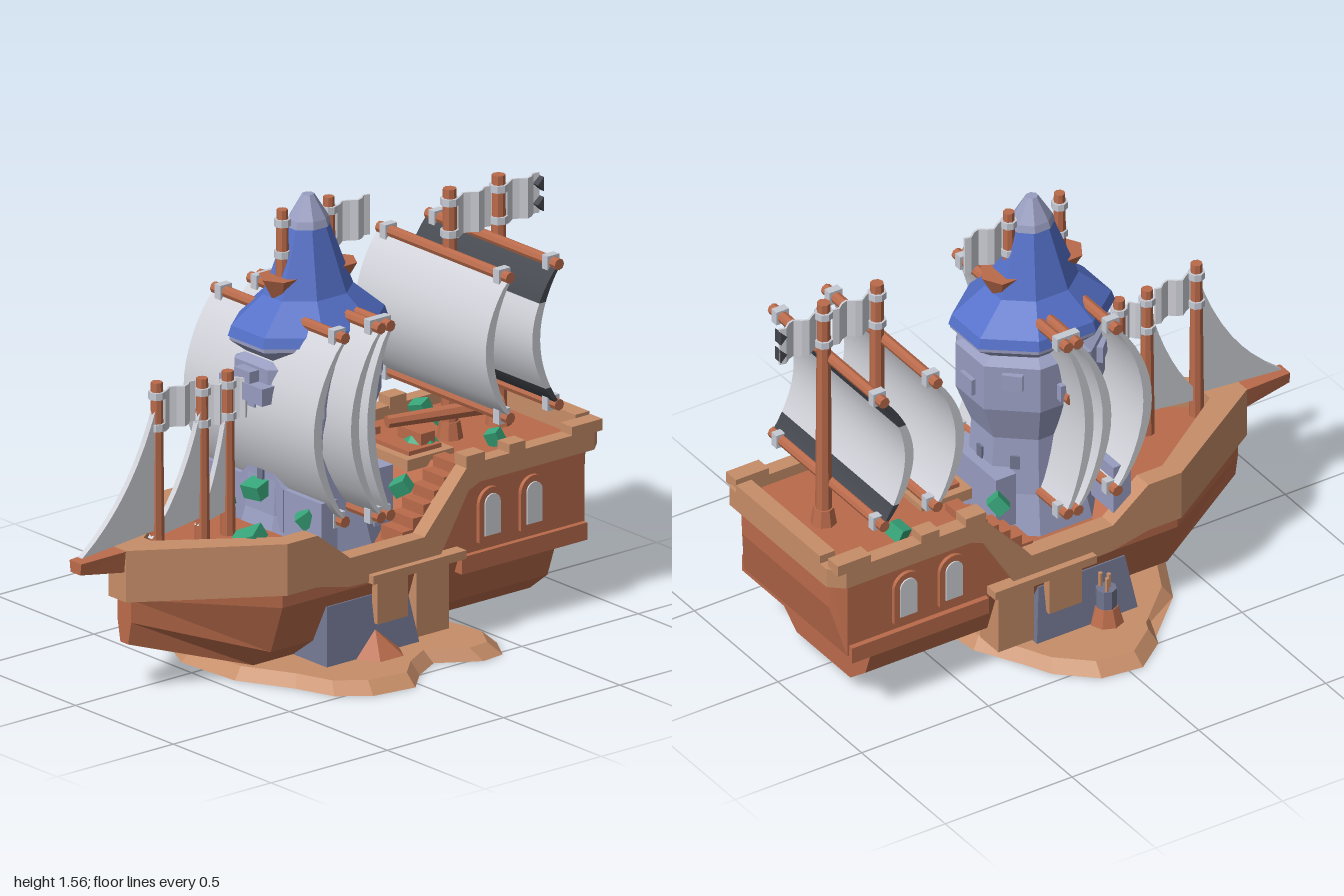
import * as THREE from 'three';
import { toCreasedNormals } from 'three/addons/utils/BufferGeometryUtils.js';

const paint = (name, color) => {
  const m = new THREE.MeshStandardMaterial({ color });
  m.name = name;
  return m;
};

export function createModel() {
  const model = new THREE.Group();
  model.name = 'castleShip';
  const wood = paint('wood', 0xba6b4b), tan = paint('tanWood', 0xc68d68), blue = paint('blueRoof', 0x5470c8);
  const stone = paint('stone', 0x989dc0), slate = paint('slate', 0x70758f), cloth = paint('cloth', 0xd2d3da);
  const dark = paint('darkCloth', 0x43464d), green = paint('green', 0x37a479), metal = paint('metal', 0xc6cad4);

  const add = (name, geo, mat, x = 0, y = 0, z = 0) => {
    const m = new THREE.Mesh(geo, mat);
    m.name = name;
    m.position.set(x, y, z);
    model.add(m);
    return m;
  };
  const box = (name, mat, w, h, d, x, y, z) => add(name, new THREE.BoxGeometry(w, h, d), mat, x, y, z);
  const flat = (g) => {
    g = g.index ? g.toNonIndexed() : g;
    g.computeVertexNormals();
    return g;
  };
  const cyl = (name, mat, r0, r1, h, x, y, z, n = 8) =>
    add(name, flat(new THREE.CylinderGeometry(r1, r0, h, n)), mat, x, y, z);

  // Skin rings of points, turned outward whatever their order
  const loft = (rings, closed = false) => {
    const p = [], n = rings[0].length, c = rings.length;
    const tri = (a, b, d) => p.push(...a, ...b, ...d);
    for (let i = 0; i < (closed ? c : c - 1); i++) {
      const A = rings[i], B = rings[(i + 1) % c];
      for (let j = 0; j < n; j++) {
        const k = (j + 1) % n;
        tri(A[j], A[k], B[k]);
        tri(A[j], B[k], B[j]);
      }
    }
    if (!closed) for (let j = 1; j < n - 1; j++) {
      tri(rings[0][0], rings[0][j + 1], rings[0][j]);
      tri(rings[c - 1][0], rings[c - 1][j], rings[c - 1][j + 1]);
    }
    let volume = 0;
    const v = (i) => new THREE.Vector3(p[i], p[i + 1], p[i + 2]);
    for (let i = 0; i < p.length; i += 9) volume += v(i).dot(v(i + 3).cross(v(i + 6)));
    if (volume < 0) for (let i = 0; i < p.length; i += 9)
      for (let k = 3; k < 6; k++) [p[i + k], p[i + k + 3]] = [p[i + k + 3], p[i + k]];
    const g = new THREE.BufferGeometry();
    g.setAttribute('position', new THREE.Float32BufferAttribute(p, 3));
    g.computeVertexNormals();
    return g;
  };
  const section = (z, half) => [...half.map(([x, y]) => [x, y, z]),
    ...half.slice().reverse().map(([x, y]) => [-x, y, z])];
  // Outline in z and y, given thickness along x
  const sidePlate = (pts, t) => {
    const s = pts instanceof THREE.Shape ? pts : new THREE.Shape(pts.map((q) => new THREE.Vector2(...q)));
    return new THREE.ExtrudeGeometry(s, { depth: t, bevelEnabled: false, curveSegments: 8 })
      .translate(0, 0, -t / 2).rotateY(-Math.PI / 2);
  };

  // Island
  const coast = [[-.59, .05], [-.57, -.1], [-.46, -.22], [-.36, -.27], [-.2, -.36], [.1, -.4], [.33, -.45], [.42, -.46],
    [.52, -.4], [.53, -.31], [.44, -.17], [.5, -.06], [.585, .03], [.56, .19], [.48, .29], [.34, .34], [.15, .44],
    [-.1, .46], [-.3, .36], [-.38, .22], [-.5, .17]];
  add('island', loft([coast.map(([x, z]) => [x, 0, z]), coast.map(([x, z]) => [x * .92, .04, z * .92])]), tan);

  // Hull
  const side = (top) => [[.31, top], [.31, .28], [.25, .11], [.16, .04]];
  add('hull', loft([
    section(.79, [[.035, .45], [.035, .33], [.035, .25], [.02, .17]]),
    section(.37, side(.45)), section(.22, side(.45)), section(.1, side(.36)),
    section(-.24, side(.36)), section(-.42, side(.57)), section(-.82, side(.57)),
  ]), wood);
  add('stern', loft([section(-.8, [[.31, .57], [.31, .25]]), section(-.93, [[.31, .57], [.31, .25]]),
    section(-.97, [[.27, .57], [.26, .43]])]), wood);
  box('sternBelt', wood, .66, .06, .54, 0, .26, -.655);

  // Rim: outer x, z, inner x, z, top, bottom
  const rim = [[0, .82, 0, .69, .51, .33], [.045, .82, .02, .69, .51, .33], [.335, .37, .265, .34, .51, .33],
    [.335, .24, .265, .24, .51, .33], [.335, .1, .27, .1, .4, .3], [.335, -.22, .27, -.22, .4, .29],
    [.335, -.27, .27, -.27, .455, .29], [.335, -.41, .28, -.41, .61, .52], [.335, -.46, .28, -.46, .61, .54],
    [.335, -.95, .28, -.93, .61, .54], [.29, -1, .26, -.94, .61, .54], [0, -1, 0, -.94, .61, .54]];
  const loop = [...rim, ...rim.slice(1, -1).reverse().map(([a, b, c, d, e, f]) => [-a, b, -c, d, e, f])];
  add('rim', loft(loop.map(([x, z, u, w, t, b]) => [[x, t, z], [u, t, w], [u, b, w], [x, b, z]]), true), tan);
  add('bowsprit', loft([section(.74, [[.05, .51], [.04, .42]]), section(1, [[.03, .5], [.025, .46]])]), wood);
  box('sternRail', tan, .5, .04, .06, 0, .62, -.97);

  for (const s of [-1, 1]) {
    // Side ledges, ribs, planks and stair steps
    box('ledge', tan, .05, .03, .4, s * .335, .31, -.18);
    add('rib', sidePlate([[-.2, .3], [-.34, .3], [-.34, .05], [-.2, .05]], .11), tan, s * .262);
    box('sidePlank', tan, .03, .15, .13, s * .318, .215, -.085);
    for (const [z, d] of [[-.44, .08], [-.62, .07], [-.92, .13]]) box('railBlock', tan, .06, .04, d, s * .305, .62, z);
    for (let i = 0; i < 6; i++) box('stairStep', wood, .11, .06, .05, s * .22, .38 + i * .038, -.2 - i * .045);
    // Arched windows
    for (const z of [-.52, -.7]) {
      const arch = (w, y0, y1) => {
        const a = new THREE.Shape();
        a.moveTo(-w, y0);
        a.lineTo(w, y0);
        a.lineTo(w, y1);
        a.absarc(0, y1, w, 0, Math.PI);
        return a;
      };
      add('windowFrame', sidePlate(arch(.055, .32, .45), .02), wood, s * .314, 0, z);
      add('windowPane', sidePlate(arch(.033, .34, .45), .008), cloth, s * .325, 0, z);
    }
  }

  // Rock foundation and island details
  add('foundation', loft([[.335, .03, .2], [.3, .235, .17]].map(([x, y, z]) =>
    [[x, y, z], [x, y, -z], [-x, y, -z], [-x, y, z]])), slate);
  add('rockMound', flat(new THREE.ConeGeometry(.1, .08, 6)), wood, .32, .08, -.02);
  cyl('potStand', wood, .06, .04, .06, -.34, .07, .07);
  cyl('pot', slate, .036, .036, .07, -.34, .135, .07);
  for (let i = 0; i < 3; i++) cyl('stick', tan, .008, .008, .1, -.36 + i * .02, .17, .06 + (i % 2) * .02, 6);

  // Tower and roof
  const octagon = (name, pts, mat, sx) => {
    const g = new THREE.LatheGeometry(pts.map((q) => new THREE.Vector2(...q)), 8, Math.PI / 8);
    add(name, flat(g), mat).scale.x = sx;
  };
  octagon('tower', [[0, .35], [.27, .35], [.225, .5], [.21, .71], [.265, .85], [.265, 1.02], [.2, 1.05], [0, 1.05]], stone, .84);
  octagon('eave', [[0, 1.02], [.21, 1.03], [.285, 1.085], [.285, 1.11], [0, 1.11]], stone, .8);
  octagon('roof', [[0, 1.1], [.292, 1.1], [.28, 1.135], [.165, 1.23], [.075, 1.46], [0, 1.46]], blue, .8);
  octagon('roofCap', [[0, 1.455], [.08, 1.455], [.072, 1.48], [.022, 1.56], [0, 1.56]], stone, .9);
  for (let i = 0; i < 8; i++) {
    const a = i * Math.PI / 4;
    const b = box('towerBlock', stone, .07, .06, .03, Math.sin(a) * .213, i % 2 ? .97 : .91, Math.cos(a) * .245);
    b.rotation.y = a;
    const w = box('towerSlot', slate, .03, .05, .008, Math.sin(a) * .167, .62, Math.cos(a) * .203);
    w.rotation.y = a;
  }
  box('frontParapet', stone, .22, .06, .06, 0, .94, .26);
  box('frontLintel', stone, .08, .04, .06, 0, .99, .255);
  for (const s of [-1, 1]) cyl('towerPeg', wood, .025, .025, .05, s * .22, .89, 0).rotation.z = Math.PI / 2;
  box('frontWall', stone, .6, .18, .07, 0, .51, .16);
  add('wallGable', loft([[-.11, .6], [-.06, .645], [.06, .645], [.11, .6]].map(([x, y]) =>
    [[x, y, .12], [x, y, .2], [x, .45, .2], [x, .45, .12]])), stone);
  box('rearWall', stone, .3, .2, .08, 0, .5, -.2);

  // Sails with yards; a slice of the sail runs from t0 to t1
  const sail = (z0, y0, y1, bulge, t0, t1, mat) => {
    const rings = [];
    for (let i = 0; i <= 14; i++) {
      const t = t0 + (t1 - t0) * i / 14, s = Math.sin(Math.PI * t) ** .8;
      const y = y0 + (y1 - y0) * t, z = z0 + bulge * s, d = .012 + .022 * s;
      rings.push([[-.333, y, z], [.333, y, z], [.333, y, z - d], [-.333, y, z - d]]);
    }
    add('sail', toCreasedNormals(loft(rings), .5), mat);
  };
  const sails = [[.12, .53, 1.17, .135], [-.035, .51, 1.17, .13], [-.075, .51, 1.17, .1], [-.59, .73, 1.22, .105], [-.8, .73, 1.22, .115]];
  sails.forEach(([z, y0, y1, bulge], i) => {
    if (i < 4) sail(z, y0, y1, bulge, 0, 1, cloth);
    else [[0, .14, dark], [.14, .76, cloth], [.76, 1, dark]].forEach((q) => sail(z, y0, y1, bulge, ...q));
    for (const y of [y0, y1]) {
      cyl('yard', wood, .02, .02, .67, 0, y, z).rotation.z = Math.PI / 2;
      for (const s of [-1, 1]) box('yardBand', metal, .03, .05, .05, s * .29, y, z);
    }
  });

  // Masts with rings
  const mast = (z, y0, y1, r) => {
    cyl('mast', wood, r + .003, r - .003, y1 - y0, 0, (y0 + y1) / 2, z);
    for (const y of [y1 - .045, y1 - .155]) cyl('mastRing', metal, r + .006, r + .006, .025, 0, y, z);
  };
  // Waving flag running aft from z
  const flag = (z, len, y) => {
    const rings = [];
    for (let i = 0; i <= 8; i++) {
      const x = .014 * Math.sin(i * 1.5), q = z - len * i / 8, h = .07;
      rings.push([[x - .004, y - h, q], [x + .004, y - h, q], [x + .004, y + h, q], [x - .004, y + h, q]]);
    }
    add('flag', loft(rings), cloth);
  };
  for (const [z, y0, y1, r, len] of [[-.61, .57, 1.44, .026, .18], [-.82, .57, 1.44, .026, .18], [.11, 1.2, 1.53, .022, 0],
    [-.09, 1.2, 1.53, .022, .18], [.65, .44, 1.05, .023, .17], [.455, .44, 1.02, .023, .1], [.345, .44, 1.02, .023, .1]]) {
    mast(z, y0, y1, r);
    if (len) flag(z, len, y1 - .105);
  }
  for (const y of [1.3, 1.37]) add('flagMark', sidePlate([[-1, y - .025], [-.975, y], [-1, y + .025]], .036), dark);
  for (const z of [.12, -.12]) cyl('mastSocket', wood, .035, .075, .07, 0, 1.265, z, 6);
  for (const z of [-.61, -.82]) cyl('mastFoot', wood, .045, .035, .06, 0, .6, z);

  // Triangular bow sails
  for (const [z, y, tip] of [[.65, 1, .98], [.455, .97, .68], [.345, .97, .48]]) {
    const s = new THREE.Shape();
    s.moveTo(z, y);
    s.quadraticCurveTo(z + (tip - z) * .3, .68, tip, .51);
    s.lineTo(z, .54);
    add('bowSail', sidePlate(s, .022), cloth);
  }

  // Deck hatch, logs and greenery
  box('hatchFrame', tan, .26, .04, .2, 0, .57, -.42);
  box('hatch', wood, .2, .05, .14, 0, .58, -.42);
  const log = cyl('deckLog', wood, .03, .022, .42, .02, .67, -.57);
  log.rotation.set(Math.PI / 2, 0, .25);
  box('logStand', wood, .12, .07, .06, .02, .61, -.45);
  add('bush', flat(new THREE.SphereGeometry(.07, 8, 5)), green, .03, .57, -.46);
  for (const [x, y, z, w, a] of [[.17, .49, .4, .1, .5], [-.15, .53, .25, .09, -.4], [0, .58, .22, .08, .1], [.22, .53, .19, .06, .8],
    [-.22, .6, -.67, .06, .3], [-.1, .6, -.67, .06, .9], [.16, .6, -.67, .05, .4], [.18, .53, -.25, .06, .6], [-.18, .53, -.25, .06, 1]]) {
    box('leaf', green, w, .05, w * .8, x, y, z).rotation.set(.3, a, a * .6);
  }
  return model;
}
